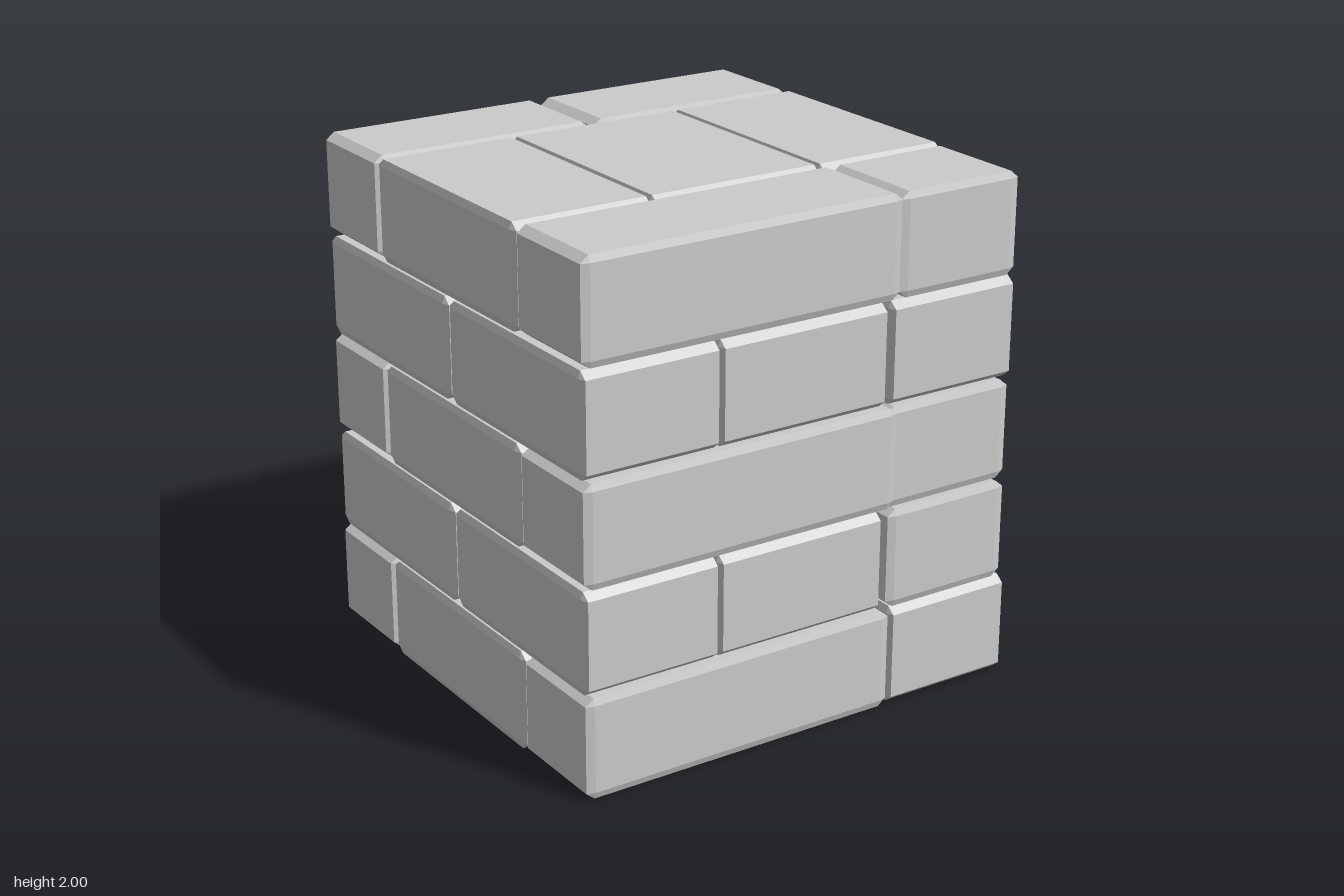
import * as THREE from 'three';
import { ConvexGeometry } from 'three/addons/geometries/ConvexGeometry.js';

// Brick with bevelled edges: deep bevel at its two ends, shallow along its sides
function brickGeometry(w, h, d, axis) {
  const bx = axis === 'x' ? 0.033 : 0.01;
  const bz = axis === 'z' ? 0.033 : 0.01;
  const by = 0.027;
  const points = [];
  for (const sx of [-1, 1]) for (const sy of [-1, 1]) for (const sz of [-1, 1]) {
    const x = w / 2, y = h / 2, z = d / 2;
    points.push(
      new THREE.Vector3(sx * x, sy * (y - by), sz * (z - bz)),
      new THREE.Vector3(sx * (x - bx), sy * y, sz * (z - bz)),
      new THREE.Vector3(sx * (x - bx), sy * (y - by), sz * z)
    );
  }
  return new ConvexGeometry(points);
}

// Each course from the ground up: [long axis, x0, x1, z0, z1]
const L = -0.94, R = 0.915, F = 0.92, B = -0.92;
const courses = [
  [ // bottom course, with a hollow slot in its core
    ['x', L, 0.38, 0.5, F],
    ['x', L, 0.38, B, -0.51],
    ['z', L, -0.39, -0.5, 0.49],
    ['z', -0.21, 0.38, -0.5, 0.49],
    ['z', 0.39, 0.935, 0.005, F],
    ['z', 0.39, 0.935, B, 0],
  ],
  [
    ['z', L, -0.385, 0.005, F],
    ['z', L, -0.385, B, 0],
    ['z', -0.38, 0.335, 0.005, F],
    ['z', -0.38, 0.335, B, 0],
    ['x', 0.365, 0.91, 0.5, F],
    ['z', 0.355, 0.91, -0.49, 0.495],
    ['x', 0.365, 0.91, B, -0.5],
  ],
  [
    ['x', L, 0.39, 0.5, F],
    ['x', 0.35, R, 0.435, 0.91],
    ['z', L, -0.385, -0.5, 0.49],
    ['z', -0.375, 0.34, -0.5, 0.49],
    ['z', 0.355, 0.91, -0.495, 0.43],
    ['x', L, 0.02, B, -0.51],
    ['x', -0.02, R, B, -0.5],
  ],
  [
    ['z', L, -0.385, 0.005, F],
    ['z', L, -0.385, B, 0],
    ['z', -0.38, 0.335, 0.005, F],
    ['z', -0.38, 0.335, B, 0],
    ['z', 0.355, R, 0.005, F],
    ['z', 0.355, R, B, 0],
  ],
  [
    ['x', L, 0.385, 0.5, F],
    ['x', 0.38, 0.91, 0.5, F],
    ['z', L, -0.38, -0.5, 0.49],
    ['z', -0.375, 0.345, -0.5, 0.49],
    ['z', 0.35, 0.905, -0.5, 0.49],
    ['x', L, -0.015, B, -0.51],
    ['x', 0.005, 0.915, B, -0.51],
  ],
];

export function createModel() {
  const pillar = new THREE.Group();
  pillar.name = 'brickPillar';
  const material = new THREE.MeshStandardMaterial({ color: 0xcccccc, flatShading: true });
  const height = 0.393, pitch = (2 - height) / 4;

  courses.forEach((bricks, i) => {
    const course = new THREE.Group();
    course.name = `course${i + 1}`;
    course.position.y = height / 2 + i * pitch;
    bricks.forEach(([axis, x0, x1, z0, z1], j) => {
      const brick = new THREE.Mesh(brickGeometry(x1 - x0, height, z1 - z0, axis), material);
      brick.name = `brick${j + 1}`;
      brick.position.set((x0 + x1) / 2, 0, (z0 + z1) / 2);
      course.add(brick);
    });
    pillar.add(course);
  });
  return pillar;
}
